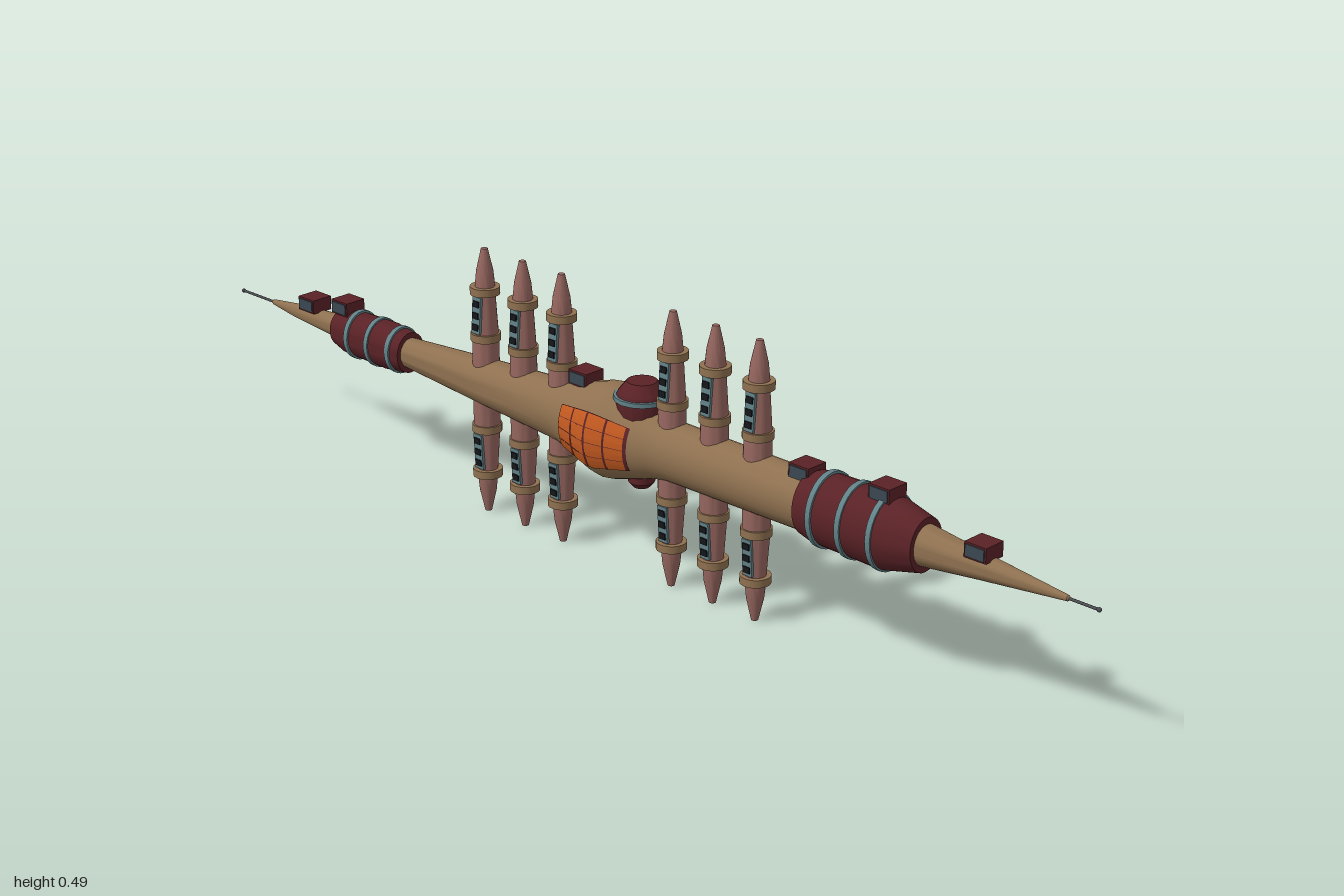
import * as THREE from 'three';
import { toCreasedNormals } from 'three/addons/utils/BufferGeometryUtils.js';

const AXIS = 0.245; // height of the hull's long axis
const FLAT = 0.88; // the hull is slightly narrower than it is tall

const material = (name, color) => {
  const m = new THREE.MeshStandardMaterial({ color });
  m.name = name;
  return m;
};

export function createModel() {
  const tan = material('tan hull', 0x8f7150);
  const maroon = material('maroon armour', 0x5a2226);
  const rose = material('rose pylon', 0x96665f);
  const teal = material('teal trim', 0x628288);
  const slate = material('slate plate', 0x3a4752);
  const orange = material('orange window', 0xc45a20);
  const black = material('black port', 0x15161a);
  const metal = material('dark metal', 0x4a4c50);

  const model = new THREE.Group();
  const add = (parent, name, geometry, mat, x = 0, y = 0, z = 0) => {
    const mesh = new THREE.Mesh(geometry, mat);
    mesh.name = name;
    mesh.position.set(x, y, z);
    parent.add(mesh);
    return mesh;
  };
  // Profile points are [radius, position along the axis]
  const turned = (points, segments = 28, start = 0, length = Math.PI * 2) => toCreasedNormals(
    new THREE.LatheGeometry(points.map(([r, h]) => new THREE.Vector2(r, h)), segments, start, length), 0.45);
  const alongX = (name, geometry, mat, flat = FLAT) => {
    const mesh = add(model, name, geometry, mat, 0, AXIS, 0);
    mesh.rotation.z = -Math.PI / 2;
    mesh.scale.z = flat;
    return mesh;
  };

  // Long spindle hull with a swollen middle
  alongX('hull', turned([
    [0, -0.91], [0.005, -0.905], [0.013, -0.84], [0.022, -0.72], [0.028, -0.52], [0.042, -0.32],
    [0.053, -0.14], [0.056, -0.11], [0.082, -0.02], [0.085, 0], [0.082, 0.02], [0.056, 0.11],
    [0.052, 0.14], [0.05, 0.43], [0.036, 0.66], [0.022, 0.78], [0.005, 0.94], [0, 0.945],
  ]), tan);

  // Antennas with small end beads
  for (const [from, to] of [[-0.997, -0.9], [0.93, 0.997]]) {
    const rod = add(model, 'antenna', new THREE.CylinderGeometry(0.0025, 0.0025, to - from, 8), metal, (from + to) / 2, AXIS, 0);
    rod.rotation.z = Math.PI / 2;
    add(model, 'antennaTip', new THREE.SphereGeometry(0.004, 10, 8), metal, Math.sign(from) * 0.996, AXIS, 0);
  }

  // Armoured sleeves with trim bands
  alongX('smallSleeve', turned([
    [0.02, -0.71], [0.034, -0.71], [0.042, -0.68], [0.044, -0.57], [0.038, -0.52], [0.025, -0.52],
  ]), maroon, 0.85);
  alongX('largeSleeve', turned([
    [0.04, 0.435], [0.055, 0.435], [0.061, 0.46], [0.063, 0.6], [0.046, 0.67], [0.03, 0.67],
  ]), maroon, 0.85);
  const band = (x, r) => alongX('sleeveBand', turned([
    [r - 0.006, x - 0.005], [r, x - 0.005], [r, x + 0.005], [r - 0.006, x + 0.005],
  ]), teal, 0.85);
  for (const x of [-0.655, -0.6, -0.545]) band(x, x > -0.56 ? 0.044 : 0.0465);
  for (const x of [0.475, 0.535, 0.598]) band(x, 0.0655);

  // Front window panels: curved strips following the middle bulge
  const bulge = (x) => 0.0885 - Math.max(0, Math.abs(x) - 0.01) * 0.29;
  for (let col = 0; col < 4; col++) {
    const x0 = -0.078 + col * 0.039;
    const points = [0, 0.5, 1].map((t) => [bulge(x0 + t * 0.035), x0 + t * 0.035]);
    for (let row = 0; row < 4; row++) {
      alongX('windowPanel', turned(points, 5, -0.58 + row * 0.292, 0.28), orange);
    }
  }
  alongX('windowFrame', turned([-0.08, -0.01, 0.01, 0.08].map((x) => [bulge(x) - 0.0015, x]), 16, -0.6, 1.2), maroon);

  // Domed turret on top, smaller one underneath
  add(model, 'turret', turned([
    [0.03, 0.27], [0.042, 0.285], [0.045, 0.32], [0.041, 0.331], [0.026, 0.35], [0, 0.351],
  ], 16), maroon, 0.06, 0, 0);
  add(model, 'turretBand', turned([
    [0.043, 0.318], [0.048, 0.318], [0.048, 0.326], [0.04, 0.326],
  ], 16), teal, 0.06, 0, 0);
  add(model, 'bellyTurret', turned([
    [0, 0.158], [0.014, 0.16], [0.023, 0.17], [0.023, 0.2],
  ], 16), maroon, 0.06, 0, 0);

  // Deck housings with a plate on the front
  for (const [x, y] of [[-0.785, 0.274], [-0.69, 0.292], [-0.072, 0.322], [0.425, 0.298], [0.59, 0.312], [0.78, 0.274]]) {
    add(model, 'deckHousing', new THREE.BoxGeometry(0.042, 0.026, 0.042), maroon, x, y, 0);
    add(model, 'housingPlate', new THREE.BoxGeometry(0.036, 0.02, 0.003), slate, x, y, 0.0215);
  }

  // Pylons, mirrored above and below the hull
  const spire = turned([
    [0.024, 0.03], [0.0235, 0.08], [0.018, 0.165], [0.0175, 0.18], [0.015, 0.205], [0.006, 0.245], [0, 0.245],
  ], 20);
  const collar = turned([
    [0.016, -0.007], [0.0265, -0.007], [0.0265, 0.007], [0.016, 0.007],
  ], 20);
  const plate = new THREE.BoxGeometry(0.02, 0.066, 0.006);
  const port = new THREE.BoxGeometry(0.014, 0.011, 0.004);
  for (const x of [-0.32, -0.225, -0.13, 0.13, 0.225, 0.32]) {
    for (const turn of [0, Math.PI]) {
      const pylon = new THREE.Group();
      pylon.name = turn ? 'lowerPylon' : 'upperPylon';
      pylon.position.set(x, AXIS, 0);
      pylon.rotation.z = turn;
      model.add(pylon);
      add(pylon, 'spire', spire, rose);
      add(pylon, 'lowerCollar', collar, tan, 0, 0.085, 0);
      add(pylon, 'upperCollar', collar, tan, 0, 0.17, 0);
      const panel = new THREE.Group();
      panel.name = 'portPanel';
      panel.position.set(0, 0.127, 0.0195);
      panel.rotation.x = -0.06;
      pylon.add(panel);
      add(panel, 'panelPlate', plate, teal);
      for (const y of [-0.021, 0, 0.021]) add(panel, 'port', port, black, 0, y, 0.0035);
    }
  }
  return model;
}
